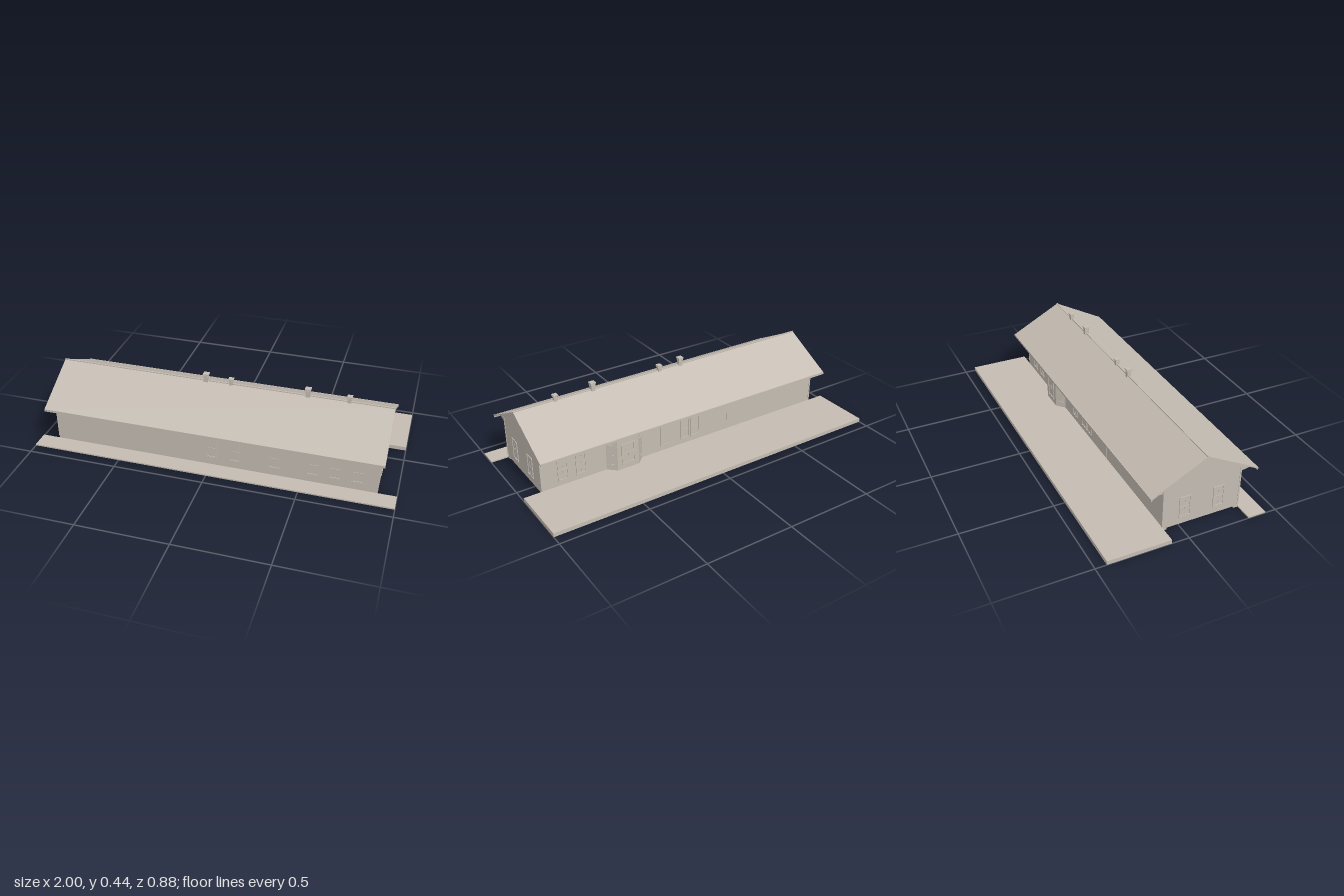
import * as THREE from 'three';

export function createModel() {
  const model = new THREE.Group();
  const stone = new THREE.MeshStandardMaterial({ color: 0xc4bcb2 });
  stone.name = 'warm grey';

  const add = (name, geo, parent = model) => {
    const m = new THREE.Mesh(geo, stone);
    m.name = name;
    parent.add(m);
    return m;
  };
  // box given by its minimum and maximum corners
  const box = (name, x0, x1, y0, y1, z0, z1, parent) => add(name,
    new THREE.BoxGeometry(x1 - x0, y1 - y0, z1 - z0)
      .translate((x0 + x1) / 2, (y0 + y1) / 2, (z0 + z1) / 2), parent);
  // outline in (z, y) swept along x
  const prism = (pts, x0, x1) => {
    const shape = new THREE.Shape(pts.map(p => new THREE.Vector2(...p)));
    return new THREE.ExtrudeGeometry(shape, { depth: x1 - x0, bevelEnabled: false })
      .rotateY(-Math.PI / 2).translate(x1, 0, 0);
  };

  const RZ = 0.122, FRONT = 0.34, BACK = -0.095, END = 0.9;
  const under = z => 0.389 - Math.abs(z - RZ) * 0.527; // underside of roof

  // platforms and foundation
  box('frontPlatform', -1, 1, 0, 0.008, FRONT, 0.44);
  box('backPlatform', -1, 1, 0, 0.022, -0.44, BACK);
  box('frontFoundation', -END, END, 0, 0.012, 0.315, FRONT);
  box('backFoundation', -END, END, 0, 0.012, BACK, -0.07);

  // walls with gables
  add('walls', prism([[BACK, 0.011], [FRONT, 0.011], [FRONT, under(FRONT)],
    [RZ, 0.389], [BACK, under(BACK)]], -END, END));

  // roof, ridge and gutters
  const eF = 0.418, eB = -0.174;
  add('roof', prism([[eB, under(eB)], [RZ, 0.389], [eF, under(eF)],
    [eF, under(eF) + 0.008], [RZ, 0.397], [eB, under(eB) + 0.008]], -0.927, 0.927));
  box('frontFascia', -0.927, 0.927, 0.228, 0.241, 0.413, 0.42);
  box('backFascia', -0.927, 0.927, 0.228, 0.241, -0.178, -0.171);
  box('ridgeCap', -0.927, 0.927, 0.393, 0.4, RZ - 0.004, RZ + 0.004);

  // rafter tails under both eaves
  const tails = new THREE.Group();
  tails.name = 'rafterTails';
  model.add(tails);
  const frontTail = prism([[FRONT, 0.222], [0.41, 0.234], [0.41, under(0.41)],
    [FRONT, under(FRONT)]], -0.005, 0.005);
  const backTail = prism([[BACK, 0.222], [BACK, under(BACK)],
    [-0.167, under(-0.167)], [-0.167, 0.234]], -0.005, 0.005);
  const n = 67;
  for (let i = 0; i < n; i++) {
    const x = -0.89 + 1.78 * i / (n - 1);
    add('frontRafterTail', frontTail, tails).position.x = x;
    add('backRafterTail', backTail, tails).position.x = x;
  }

  // corner boards
  for (const s of [-1, 1]) {
    for (const [z0, z1] of [[FRONT - 0.006, FRONT + 0.002], [BACK - 0.002, BACK + 0.006]]) {
      const x0 = s > 0 ? END - 0.006 : -END - 0.002;
      box('cornerBoard', x0, x0 + 0.008, 0.022, 0.262, z0, z1);
    }
  }

  // chimneys with stepped caps
  for (const [x, w, top] of [[-0.09, 0.024, 0.44], [0.05, 0.02, 0.43],
    [0.47, 0.024, 0.44], [0.69, 0.02, 0.43]]) {
    const g = new THREE.Group();
    g.name = 'chimney';
    g.position.set(x, 0, RZ);
    model.add(g);
    const block = (name, r, y0, y1) => box(name, -r, r, y0, y1, -r, r, g);
    block('chimneyStack', w / 2, 0.375, top - 0.002);
    block('chimneyBand', w / 2 + 0.002, top - 0.015, top - 0.01);
    block('chimneyCap', w / 2 + 0.004, top - 0.007, top);
  }

  // sash window facing +z, then placed and turned
  const addWindow = (x, z, turn, w = 0.063, y0 = 0.055, y1 = 0.175) => {
    const g = new THREE.Group();
    g.name = 'window';
    g.position.set(x, 0, z);
    g.rotation.y = turn;
    model.add(g);
    const h = w / 2, t = Math.min(0.006, w / 6), mid = (y0 + y1) / 2;
    const frame = new THREE.Shape([[-h, y0], [h, y0], [h, y1], [-h, y1]]
      .map(p => new THREE.Vector2(...p)));
    frame.holes.push(new THREE.Path([[-h + t, y0 + t], [-h + t, y1 - t], [h - t, y1 - t], [h - t, y0 + t]]
      .map(p => new THREE.Vector2(...p))));
    add('windowFrame', new THREE.ExtrudeGeometry(frame, { depth: 0.004, bevelEnabled: false }), g);
    box('windowPane', -h + t, h - t, y0 + t, y1 - t, 0, 0.001, g);
    box('meetingRail', -h + t, h - t, mid - 0.002, mid + 0.002, 0, 0.003, g);
    box('glazingBar', -0.001, 0.001, y0 + t, y1 - t, 0, 0.002, g);
    box('windowSill', -h - 0.001, h + 0.001, y0 - 0.002, y0 + 0.003, 0, 0.005, g);
  };
  for (const x of [0, 0.13, 0.35, 0.56, 0.675, 0.795]) addWindow(x, FRONT, 0);
  for (const x of [0.775, 0.67, 0.15, 0.018, -0.046]) addWindow(x, BACK, Math.PI, 0.06);
  for (const s of [-1, 1])
    for (const z of [0.217, 0.027]) addWindow(s * END, z, s * Math.PI / 2);

  // freight door and wall battens
  box('freightDoor', -0.635, -0.57, 0.012, 0.2, FRONT, FRONT + 0.002);
  box('frontBatten', -0.167, -0.163, 0.012, 0.222, FRONT, FRONT + 0.002);
  box('backBatten', -0.272, -0.268, 0.022, 0.222, BACK - 0.002, BACK);

  // angled bay on the platform side, its top following the eave
  const bz = -0.138, outer = [0.3, 0.52], inner = [0.345, 0.475];
  const plan = new THREE.Shape([[outer[0], BACK], [outer[1], BACK], [inner[1], bz], [inner[0], bz]]
    .map(([x, z]) => new THREE.Vector2(x, -z)));
  const bay = new THREE.ExtrudeGeometry(plan, { depth: 0.21, bevelEnabled: false })
    .rotateX(-Math.PI / 2).translate(0, 0.02, 0);
  const p = bay.attributes.position;
  for (let i = 0; i < p.count; i++) if (p.getY(i) > 0.1) p.setY(i, under(p.getZ(i)));
  bay.computeVertexNormals();
  add('bay', bay);
  addWindow(0.41, bz, Math.PI, 0.08);
  const slant = Math.atan2(BACK - bz, inner[0] - outer[0]);
  addWindow((outer[0] + inner[0]) / 2, (BACK + bz) / 2, Math.PI + slant, 0.036);
  addWindow((outer[1] + inner[1]) / 2, (BACK + bz) / 2, Math.PI - slant, 0.036);

  return model;
}
